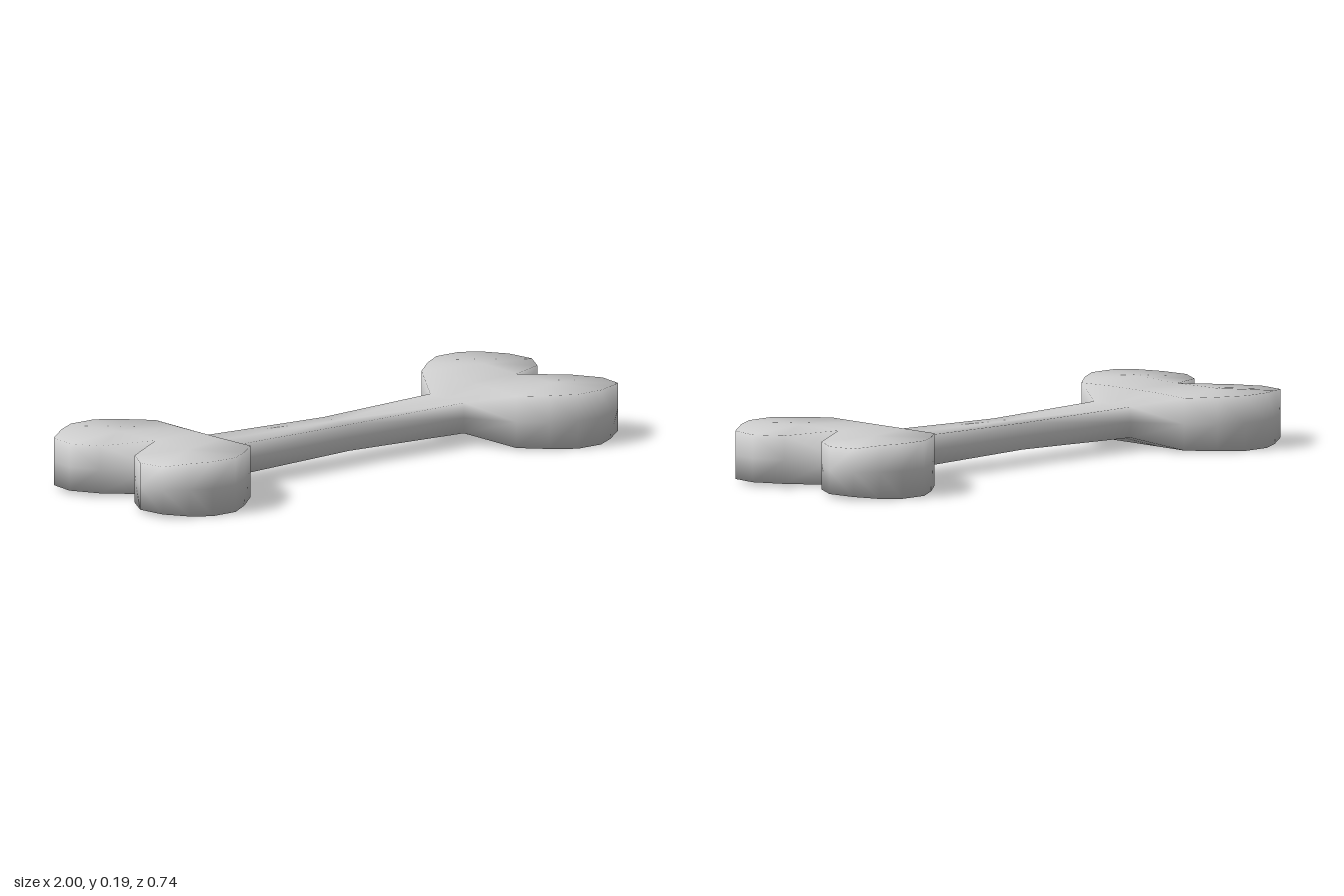
import * as THREE from 'three';
import { mergeVertices } from 'three/addons/utils/BufferGeometryUtils.js';

const MID = 0.093; // height of the plane of symmetry

// Outline of one quarter: x, z, half thickness
const outline = [
  [0, 0.07, 0.045], [0.48, 0.088, 0.052], [0.575, 0.248, 0.088], [0.66, 0.32, 0.091],
  [0.74, 0.37, 0.093], [0.84, 0.37, 0.093], [0.91, 0.335, 0.09], [0.985, 0.285, 0.081],
  [1.0, 0.185, 0.08], [0.945, 0.09, 0.081], [0.78, 0, 0.092],
];

function quarterTriangles() {
  const tris = [];
  const top = ([x, z, h]) => [x, h, z];
  const mid = ([x, z]) => [x, 0, z];
  const quad = (a, b, c, d) => tris.push([a, b, c], [a, c, d]);

  // Side wall, from the upper edge down to the middle plane
  for (let i = 0; i < outline.length - 1; i++) {
    const p = outline[i], q = outline[i + 1];
    quad(top(p), mid(p), mid(q), top(q));
  }

  // Shaft top and the slope up to the knuckle
  const shaftMid = [0, 0.045, 0], neckMid = [0.48, 0.052, 0];
  const baseMid = [0.585, 0.09, 0], baseSide = [0.585, 0.11, 0.09];
  const base = [baseSide[0], baseSide[2], baseSide[1]];
  base[1] = 0.11; base[2] = 0.09;
  quad(shaftMid, top(outline[0]), top(outline[1]), neckMid);
  quad(neckMid, top(outline[1]), top(base), baseMid);
  tris.push([top(outline[1]), top(outline[2]), top(base)]);

  // Flat knuckle top, fanned from its centre
  const centre = [0.79, 0.093, 0.18];
  const rim = [baseMid, top(base), ...outline.slice(2).map(top), baseMid];
  for (let i = 0; i < rim.length - 1; i++) tris.push([centre, rim[i], rim[i + 1]]);
  return tris;
}

export function createModel() {
  const positions = [];
  const tris = quarterTriangles();
  // Mirror the piece in all three directions, flipping the winding when needed
  for (const sx of [1, -1]) for (const sy of [1, -1]) for (const sz of [1, -1]) {
    for (const [a, b, c] of tris) {
      const order = sx * sy * sz > 0 ? [a, b, c] : [a, c, b];
      for (const [x, y, z] of order) positions.push(sx * x + 0, MID + sy * y, sz * z + 0);
    }
  }
  let geometry = new THREE.BufferGeometry();
  geometry.setAttribute('position', new THREE.Float32BufferAttribute(positions, 3));
  geometry = mergeVertices(geometry, 1e-4);
  geometry.computeVertexNormals();

  const bone = new THREE.Mesh(geometry, new THREE.MeshStandardMaterial({ color: 0xcccccc }));
  bone.name = 'bone';
  const group = new THREE.Group();
  group.name = 'boneModel';
  group.add(bone);
  return group;
}
